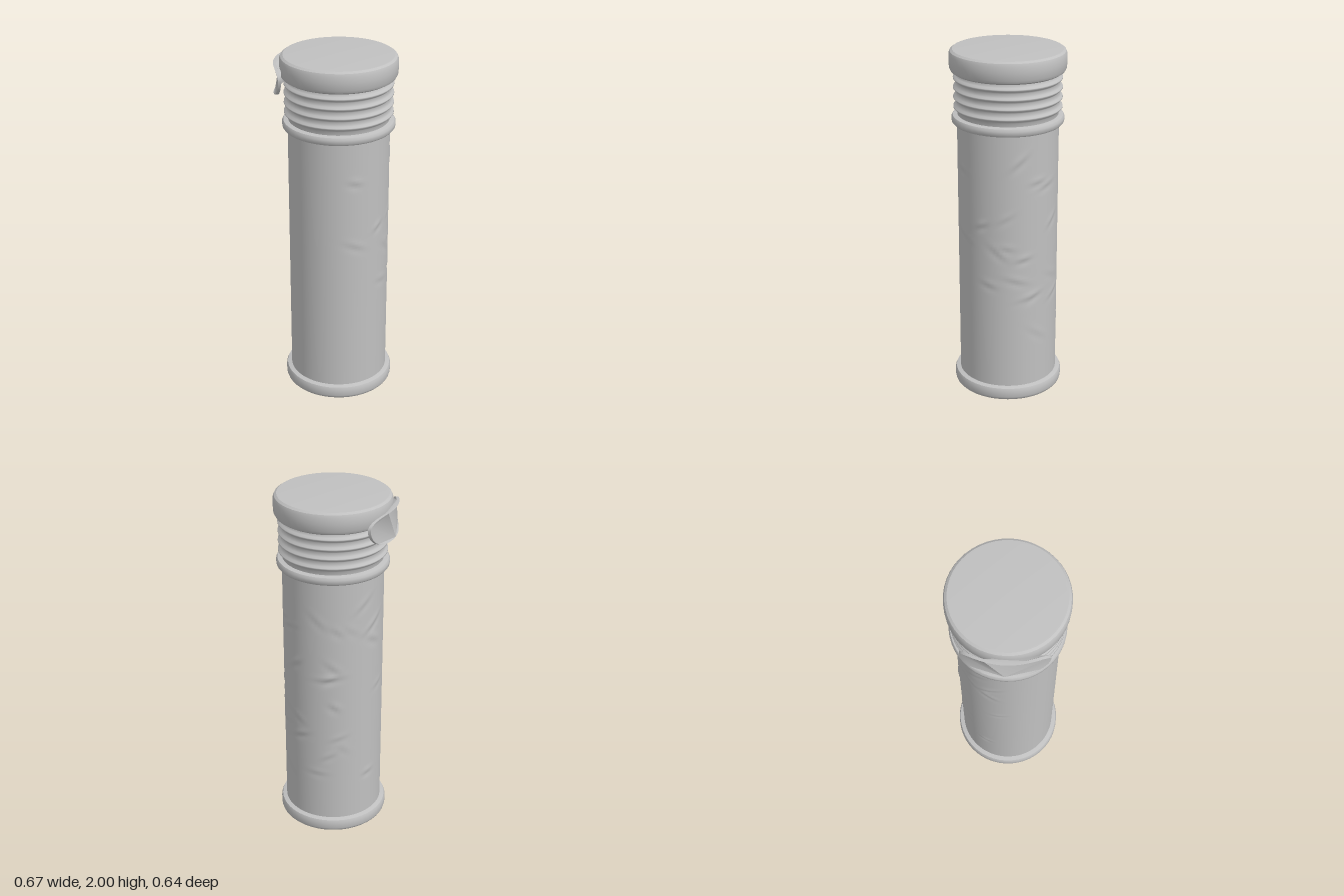
import * as THREE from 'three';
import { toCreasedNormals, mergeVertices } from 'three/addons/utils/BufferGeometryUtils.js';

const CX = 0.017; // axis of the canister

export function createModel() {
  const group = new THREE.Group();
  const grey = new THREE.MeshStandardMaterial({ color: 0xc0c0c0 });
  grey.name = 'grey';

  const add = (name, geometry, x = CX) => {
    const mesh = new THREE.Mesh(geometry, grey);
    mesh.name = name;
    mesh.position.x = x;
    group.add(mesh);
  };
  const turned = (points, sides = 48) =>
    new THREE.LatheGeometry(points.map(([r, y]) => new THREE.Vector2(r, y)), sides);

  // Foot ring and underside
  add('foot', toCreasedNormals(turned([
    [0, 0], [0.3, 0], [0.308, 0.008], [0.312, 0.02], [0.312, 0.058], [0.306, 0.072], [0.275, 0.08],
  ]), 0.7));

  // Tube with shallow scrapes pressed into its sides and back
  let seed = 7;
  const rand = () => (seed = (seed * 16807) % 2147483647) / 2147483647;
  const scrapes = Array.from({ length: 34 }, () => ({
    angle: 0.5 + rand() * 4.2, // clear of the front
    y: 0.2 + rand() * 1.25,
    tilt: (rand() - 0.5) * 1.6,
    long: 0.03 + rand() * 0.04,
    depth: 0.004 + rand() * 0.006,
  }));
  const R = 0.281;
  let tube = new THREE.CylinderGeometry(R, R, 1.56, 96, 110, true);
  tube.translate(0, 0.84, 0);
  tube.deleteAttribute('uv');
  tube.deleteAttribute('normal');
  tube = mergeVertices(tube);
  const p = tube.attributes.position;
  for (let i = 0; i < p.count; i++) {
    const a = (Math.atan2(p.getX(i), p.getZ(i)) + Math.PI * 2) % (Math.PI * 2);
    const y = p.getY(i);
    let d = 0;
    for (const s of scrapes) {
      const u = (a - s.angle) * R, v = y - s.y;
      const along = (u * Math.cos(s.tilt) + v * Math.sin(s.tilt)) / s.long;
      const across = (v * Math.cos(s.tilt) - u * Math.sin(s.tilt)) / 0.02;
      d += s.depth * across * Math.exp(-along * along - across * across);
    }
    const k = 1 + d / R;
    p.setXYZ(i, p.getX(i) * k, y, p.getZ(i) * k);
  }
  tube.computeVertexNormals();
  add('tube', tube);

  // Collar below the neck
  add('collar', toCreasedNormals(turned([
    [0.27, 1.588], [0.302, 1.59], [0.31, 1.6], [0.311, 1.622], [0.304, 1.634], [0.27, 1.64],
  ]), 0.8));

  // Ribbed neck
  const neck = [[0.278, 1.63]];
  for (let i = 0; i < 4; i++) {
    const y = 1.68 + i * 0.054;
    neck.push([0.278, y - 0.022], [0.292, y - 0.01], [0.3, y - 0.002], [0.299, y + 0.004], [0.288, y + 0.012]);
  }
  neck.push([0.278, 1.865], [0.278, 1.89]);
  add('ribbedNeck', turned(neck));

  // Cap with a softened rim
  add('cap', toCreasedNormals(turned([
    [0.27, 1.872], [0.296, 1.874], [0.312, 1.884], [0.32, 1.9], [0.322, 1.94],
    [0.321, 1.975], [0.315, 1.99], [0.302, 1.999], [0.29, 2], [0, 2],
  ]), 0.5));

  // Curved plate standing off the right side, with rounded ends
  const half = 0.228, n = 28;
  const shape = new THREE.Shape();
  const edge = (t, h) => h * Math.pow(Math.max(0, 1 - Math.pow(Math.abs(t), 4)), 0.5);
  for (let i = 0; i <= n; i++) {
    const t = -Math.cos((i / n) * Math.PI);
    const y = 1.9 - edge(t, 0.11);
    if (i) shape.lineTo(t * half, y); else shape.moveTo(t * half, y);
  }
  for (let i = 1; i < n; i++) {
    const t = Math.cos((i / n) * Math.PI);
    shape.lineTo(t * half, 1.9 + edge(t, 0.057));
  }
  const plate = new THREE.ExtrudeGeometry(shape, { depth: 0.016, bevelEnabled: false });
  plate.rotateY(-Math.PI / 2);
  const q = plate.attributes.position;
  for (let i = 0; i < q.count; i++) {
    const z = q.getZ(i);
    q.setX(i, q.getX(i) - 0.319 + 0.068 * Math.pow(z / half, 2));
  }
  add('sidePlate', toCreasedNormals(plate, 0.6), 0);

  return group;
}
